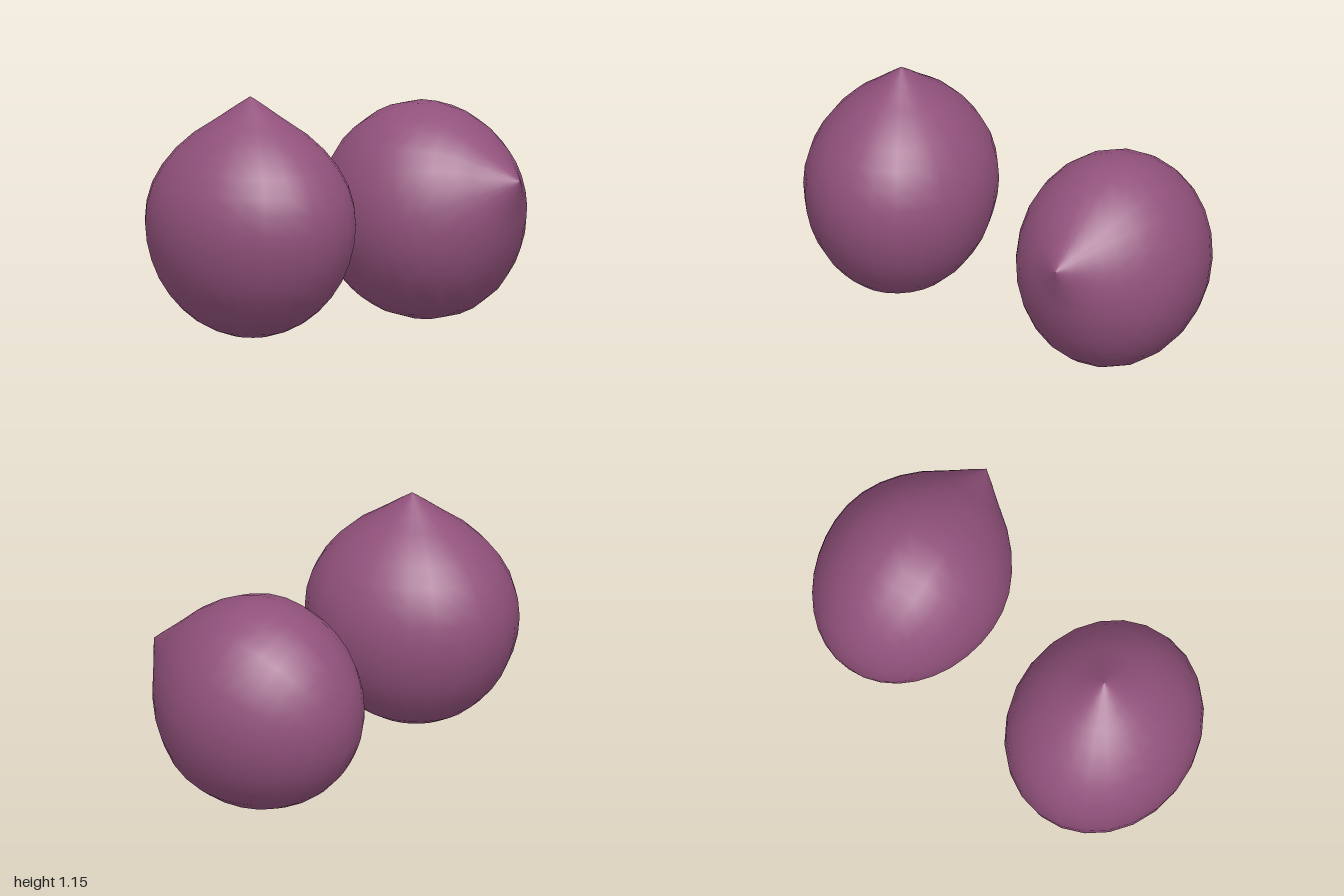
import * as THREE from 'three';

export function createModel() {
  const model = new THREE.Group();
  const skin = new THREE.MeshStandardMaterial({ color: 0x91517b });
  skin.name = 'plum skin';

  // Half outline of a bulb: radius and height from its middle, bottom to tip
  const outline = [
    [0, -0.522], [0.09, -0.514], [0.175, -0.489], [0.255, -0.449], [0.325, -0.395],
    [0.387, -0.328], [0.437, -0.252], [0.473, -0.168], [0.495, -0.083], [0.503, 0.002],
    [0.495, 0.09], [0.468, 0.177], [0.42, 0.26], [0.355, 0.338], [0.27, 0.412],
    [0.2, 0.456], [0.135, 0.498], [0.065, 0.545], [0, 0.586],
  ].map(([r, y]) => new THREE.Vector2(r, y));

  const sides = 24;
  const bulb = new THREE.LatheGeometry(outline, sides, Math.PI / sides);
  bulb.scale(1, 1, 0.867); // slightly flattened front to back

  const addBulb = (name, position, tilt, turn) => {
    const mesh = new THREE.Mesh(bulb, skin);
    mesh.name = name;
    mesh.rotation.set(0, turn, tilt, 'YXZ');
    mesh.position.set(...position);
    model.add(mesh);
  };

  // One bulb stands upright, the other lies with its tip to the side
  addBulb('uprightBulb', [-0.135, 0.572, 0.567], 0, 0);
  addBulb('tippedBulb', [0.073, 0.507, -0.566], -1.253, -0.1);

  return model;
}
